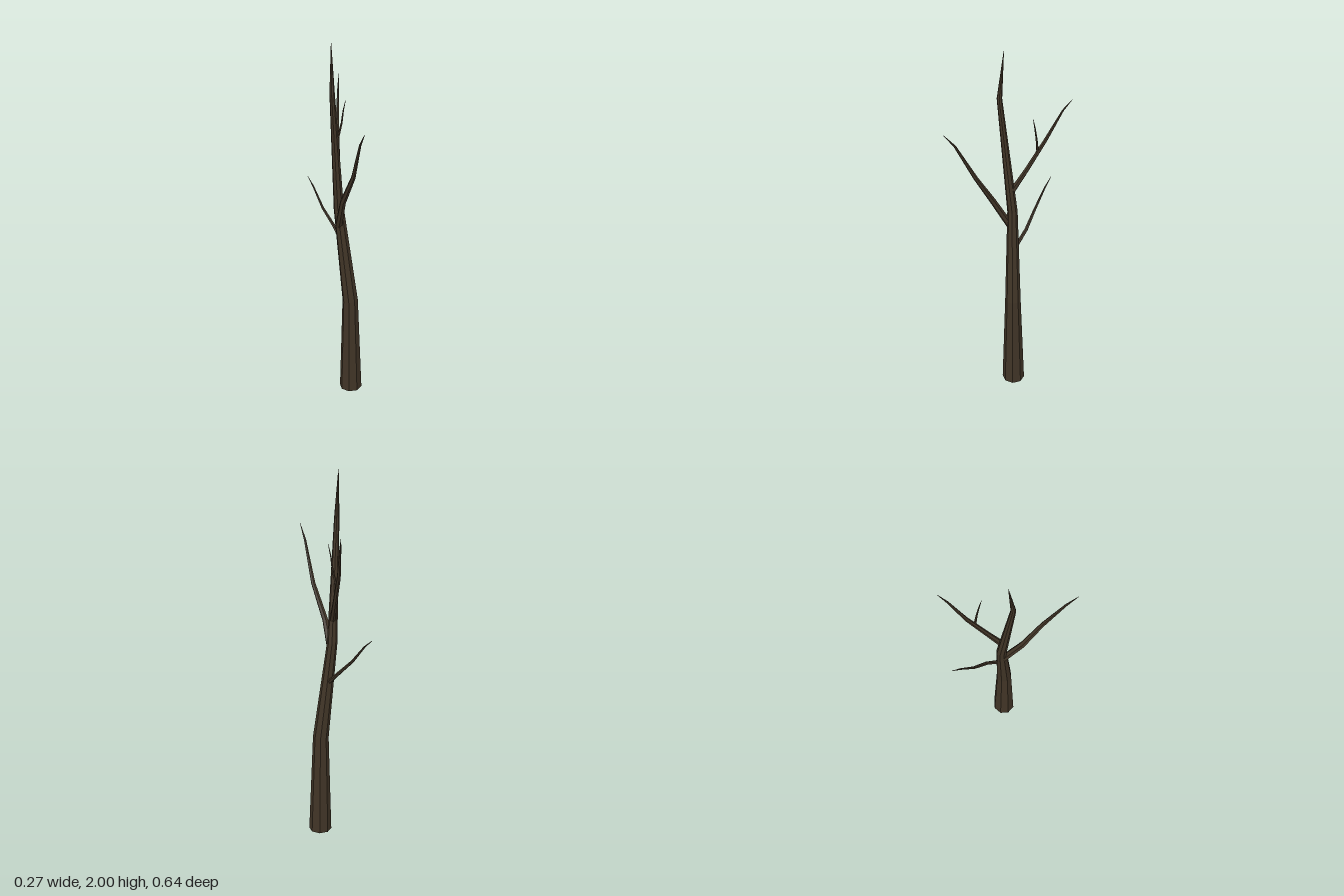
import * as THREE from 'three';

const bark = new THREE.MeshStandardMaterial({ color: 0x403426 });
bark.name = 'bark';

// Tapered faceted limb through points [x, y, z, radius], with both ends capped
function limb(name, points, sides) {
  const centres = points.map(([x, y, z]) => new THREE.Vector3(x, y, z));
  const last = centres.length - 1;
  const position = [];
  const index = [];

  centres.forEach((c, r) => {
    const t = new THREE.Vector3();
    if (r > 0) t.add(c.clone().sub(centres[r - 1]).normalize());
    if (r < last) t.add(centres[r + 1].clone().sub(c).normalize());
    if (c.y === 0) t.set(0, 1, 0); // level foot on the ground
    t.normalize();
    const u = new THREE.Vector3(1, 0, 0).addScaledVector(t, -t.x).normalize();
    const w = t.clone().cross(u);
    for (let i = 0; i < sides; i++) {
      const a = (i / sides) * Math.PI * 2;
      const p = c.clone()
        .addScaledVector(u, Math.cos(a) * points[r][3])
        .addScaledVector(w, Math.sin(a) * points[r][3]);
      position.push(p.x, p.y, p.z);
    }
  });

  for (let r = 0; r < last; r++) {
    for (let i = 0; i < sides; i++) {
      const j = (i + 1) % sides;
      const a = r * sides + i, b = r * sides + j;
      index.push(a, b, b + sides, a, b + sides, a + sides);
    }
  }
  const top = last * sides;
  for (let i = 1; i < sides - 1; i++) {
    index.push(0, i + 1, i, top, top + i, top + i + 1);
  }

  const indexed = new THREE.BufferGeometry();
  indexed.setAttribute('position', new THREE.Float32BufferAttribute(position, 3));
  indexed.setIndex(index);
  const geometry = indexed.toNonIndexed(); // separate faces give flat facets
  geometry.computeVertexNormals();
  const mesh = new THREE.Mesh(geometry, bark);
  mesh.name = name;
  return mesh;
}

export function createModel() {
  const tree = new THREE.Group();
  tree.name = 'bareTree';

  // Trunk, leaning gently and ending in a point
  tree.add(limb('trunk', [
    [0.012, 0, -0.002, 0.061],
    [0.008, 0.56, -0.002, 0.042],
    [-0.038, 1.1, -0.039, 0.027],
    [-0.097, 1.75, -0.006, 0.0135],
    [-0.087, 2, -0.027, 0.001],
  ], 8));

  // Long branch reaching forward
  tree.add(limb('frontBranch', [
    [-0.045, 1.01, -0.03, 0.019],
    [-0.08, 1.19, 0.06, 0.016],
    [-0.088, 1.365, 0.162, 0.0115],
    [-0.12, 1.575, 0.262, 0.006],
    [-0.134, 1.65, 0.317, 0.001],
  ], 6));

  // Upper branch reaching back and to the left
  tree.add(limb('upperBackBranch', [
    [-0.042, 1.22, -0.036, 0.016],
    [0, 1.345, -0.1, 0.0125],
    [0.05, 1.51, -0.18, 0.01],
    [0.103, 1.68, -0.246, 0.005],
    [0.132, 1.74, -0.28, 0.001],
  ], 6));

  // Twig on the upper branch
  tree.add(limb('twig', [
    [0.032, 1.44, -0.147, 0.007],
    [0.043, 1.53, -0.128, 0.005],
    [0.044, 1.6, -0.115, 0.0035],
    [0.047, 1.66, -0.099, 0.001],
  ], 5));

  // Low thin branch reaching back
  tree.add(limb('lowerBackBranch', [
    [-0.013, 0.88, -0.035, 0.011],
    [-0.015, 0.96, -0.115, 0.0095],
    [-0.035, 1.045, -0.195, 0.0075],
    [-0.043, 1.145, -0.273, 0.0045],
    [-0.048, 1.19, -0.32, 0.001],
  ], 6));

  return tree;
}
